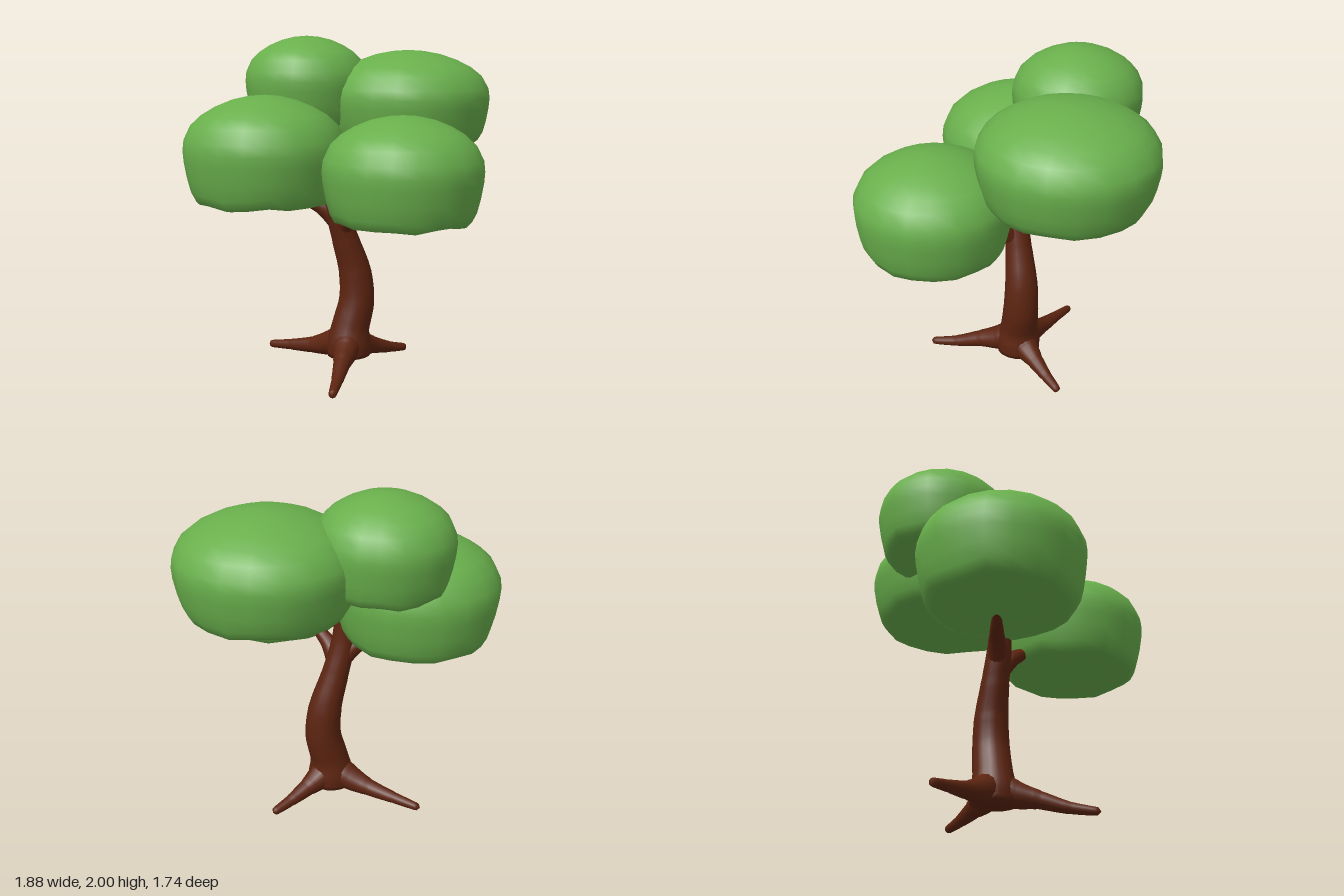
import * as THREE from 'three';
import { mergeVertices } from 'three/addons/utils/BufferGeometryUtils.js';

const bark = new THREE.MeshStandardMaterial({ color: 0x5c2410 });
bark.name = 'bark brown';
const leaf = new THREE.MeshStandardMaterial({ color: 0x69af4c });
leaf.name = 'leaf green';

// Weld seams and give smooth normals
function smooth(geometry) {
  geometry.deleteAttribute('uv');
  geometry.deleteAttribute('normal');
  const welded = mergeVertices(geometry, 1e-4);
  welded.computeVertexNormals();
  return welded;
}

// Tapered limb; each stop is [x, y, z, radius]
function limb(name, stops, sides = 14) {
  const curve = new THREE.CatmullRomCurve3(stops.map(([x, y, z]) => new THREE.Vector3(x, y, z)));
  const rows = stops.length * 6;
  const geometry = new THREE.TubeGeometry(curve, rows, 1, sides);
  const pos = geometry.attributes.position;
  const v = new THREE.Vector3();
  for (let i = 0; i <= rows; i++) {
    const f = curve.getUtoTmapping(i / rows) * (stops.length - 1);
    const k = Math.min(Math.floor(f), stops.length - 2);
    let r = THREE.MathUtils.lerp(stops[k][3], stops[k + 1][3], THREE.MathUtils.smoothstep(f - k, -0.25, 1.25));
    if (i === 0 || i === rows) r = 0; // closed ends
    const c = curve.getPointAt(i / rows);
    for (let j = 0; j <= sides; j++) {
      const n = i * (sides + 1) + j;
      v.fromBufferAttribute(pos, n).sub(c).multiplyScalar(r).add(c);
      pos.setXYZ(n, v.x, v.y, v.z);
    }
  }
  const mesh = new THREE.Mesh(smooth(geometry), bark);
  mesh.name = name;
  return mesh;
}

// Leaf crown profile: [fraction of radius, fraction of height]
const crownProfile = [
  [0, 0.09], [0.3, 0.08], [0.58, 0.055], [0.76, 0.02], [0.85, 0.035], [0.91, 0.12], [0.955, 0.25],
  [0.99, 0.4], [1, 0.5], [0.985, 0.6], [0.9, 0.73], [0.77, 0.82], [0.6, 0.895], [0.4, 0.955], [0.2, 0.988], [0, 1],
];

function crown(name, x, z, radius, bottom, top, phase) {
  const h = top - bottom;
  const points = crownProfile.map(([r, t]) => new THREE.Vector2(r * radius, t * h));
  const geometry = smooth(new THREE.LatheGeometry(points, 20));
  const pos = geometry.attributes.position;
  // Ripple the lower rim
  for (let i = 0; i < pos.count; i++) {
    const px = pos.getX(i), py = pos.getY(i), pz = pos.getZ(i);
    const low = 1 - THREE.MathUtils.smoothstep(py / h, 0.03, 0.4);
    const rim = Math.min(1, Math.hypot(px, pz) / radius);
    const a = Math.atan2(pz, px);
    const wave = Math.sin(a * 7 + phase) * 0.6 + Math.sin(a * 4 + phase * 2) * 0.4;
    const s = 1 + 0.02 * low * wave;
    pos.setXYZ(i, px * s, py + 0.018 * low * rim * wave, pz * s);
  }
  geometry.computeVertexNormals();
  const mesh = new THREE.Mesh(geometry, leaf);
  mesh.name = name;
  mesh.position.set(x, bottom, z);
  return mesh;
}

export function createModel() {
  const tree = new THREE.Group();
  tree.name = 'tree';

  // Curved trunk
  tree.add(limb('trunk', [
    [-0.01, 0.06, -0.11, 0.13], [-0.01, 0.16, -0.11, 0.135], [0.0, 0.25, -0.11, 0.115],
    [0.04, 0.42, -0.105, 0.107], [0.03, 0.6, -0.11, 0.098], [-0.03, 0.8, -0.115, 0.08],
    [-0.085, 1.0, -0.115, 0.07], [-0.095, 1.2, -0.12, 0.058], [-0.07, 1.42, -0.13, 0.058],
  ], 18));

  // Three spreading roots
  const tips = [
    ['frontRoot', -0.345, 0.025, 0.365],
    ['leftRoot', 0.435, 0.045, -0.2],
    ['backRoot', -0.335, 0.06, -0.605],
  ];
  for (const [name, x, y, z] of tips) {
    const along = (f, py, r) => [-0.01 + (x + 0.01) * f, py, -0.11 + (z + 0.11) * f, r];
    tree.add(limb(name, [
      along(0, 0.2, 0.09), along(0.2, 0.14, 0.08), along(0.42, 0.105, 0.052),
      along(0.7, 0.035 + y * 0.75, 0.034), along(0.97, y, 0.022), along(1, y - 0.002, 0.014),
    ]));
  }

  // Branches reaching into each crown
  tree.add(
    limb('rightBranch', [[-0.06, 0.88, -0.115, 0.055], [-0.15, 0.99, -0.16, 0.05], [-0.25, 1.05, -0.21, 0.035], [-0.34, 1.12, -0.25, 0.02]]),
    limb('frontBranch', [[-0.05, 0.86, -0.1, 0.055], [-0.05, 0.95, -0.03, 0.05], [-0.03, 1.01, 0.05, 0.036], [0, 1.08, 0.14, 0.02]]),
    limb('leftBranch', [[-0.09, 1.22, -0.12, 0.05], [-0.02, 1.34, -0.12, 0.045], [0.09, 1.41, -0.13, 0.035], [0.18, 1.46, -0.14, 0.02]]),
    limb('backBranch', [[-0.09, 1.25, -0.12, 0.05], [-0.1, 1.4, -0.17, 0.045], [-0.11, 1.5, -0.25, 0.035], [-0.11, 1.57, -0.33, 0.02]]),
  );

  // Leaf crowns
  tree.add(
    crown('rightCrown', -0.47, -0.285, 0.475, 1.02, 1.66, 0.4),
    crown('backCrown', -0.107, -0.495, 0.375, 1.46, 2.0, 1.7),
    crown('leftCrown', 0.44, -0.205, 0.497, 1.34, 1.915, 2.9),
    crown('frontCrown', 0.06, 0.427, 0.447, 0.97, 1.57, 4.3),
  );
  return tree;
}
